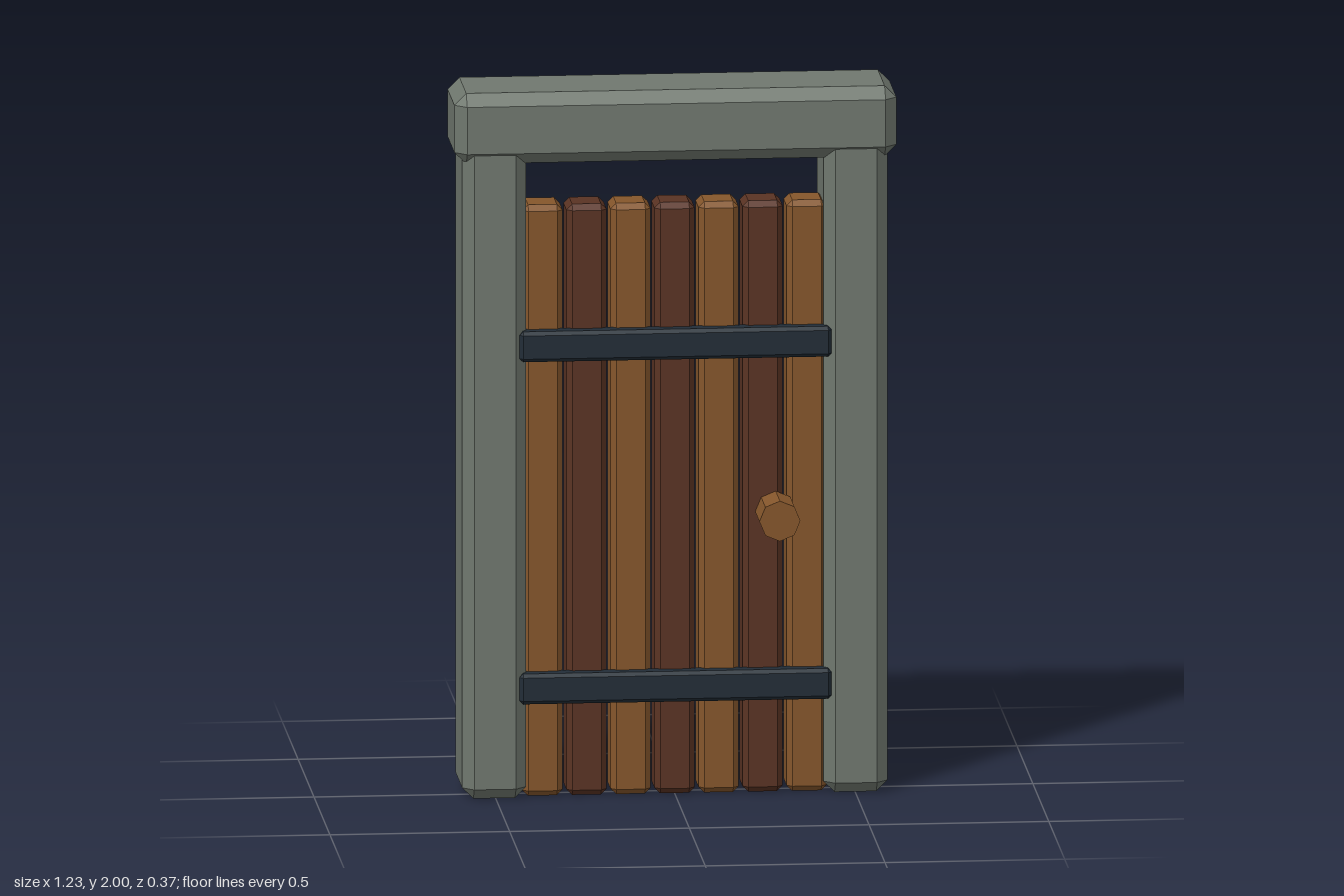
import * as THREE from 'three';
import { ConvexGeometry } from 'three/addons/geometries/ConvexGeometry.js';

const material = (name, color) => {
  const m = new THREE.MeshStandardMaterial({ color });
  m.name = name;
  return m;
};

// Box between two corners with every edge cut by a flat chamfer
function chamferBox([x0, y0, z0], [x1, y1, z1], c) {
  const half = [(x1 - x0) / 2, (y1 - y0) / 2, (z1 - z0) / 2];
  const points = [];
  for (const sx of [-1, 1]) for (const sy of [-1, 1]) for (const sz of [-1, 1]) {
    for (let outer = 0; outer < 3; outer++) {
      const p = [sx, sy, sz].map((s, i) => s * (half[i] - (i === outer ? 0 : c)));
      points.push(new THREE.Vector3(...p));
    }
  }
  const geometry = new ConvexGeometry(points);
  geometry.translate((x0 + x1) / 2, (y0 + y1) / 2, (z0 + z1) / 2);
  return geometry;
}

export function createModel() {
  const stone = material('grey stone', 0x70786f);
  const lightWood = material('light wood', 0x85562b);
  const darkWood = material('dark wood', 0x5a3323);
  const iron = material('dark iron', 0x222d37);

  const door = new THREE.Group();
  door.name = 'door';
  const add = (name, geometry, mat) => {
    const mesh = new THREE.Mesh(geometry, mat);
    mesh.name = name;
    door.add(mesh);
    return mesh;
  };

  // Stone frame
  add('lintel', chamferBox([-0.615, 1.8, -0.185], [0.615, 2, 0.095], 0.033), stone);
  add('leftPost', chamferBox([0.412, 0, -0.175], [0.59, 1.88, 0.09], 0.031), stone);
  add('rightPost', chamferBox([-0.593, 0, -0.175], [-0.415, 1.88, 0.09], 0.031), stone);

  // Seven planks, alternating light and dark
  for (let i = 0; i < 7; i++) {
    const x = (i - 3) * 0.1225;
    add('plank' + (i + 1),
      chamferBox([x - 0.056, 0, -0.075], [x + 0.056, 1.675, 0.05], 0.016),
      i % 2 ? darkWood : lightWood);
  }

  // Iron straps across the front
  for (const [name, y] of [['lowerStrap', 0.312], ['upperStrap', 1.282]]) {
    add(name, chamferBox([-0.435, y - 0.043, 0.03], [0.433, y + 0.043, 0.0905], 0.01), iron);
  }

  // Octagonal handle
  const knob = new THREE.CylinderGeometry(0.057, 0.057, 0.133, 8).toNonIndexed();
  knob.rotateX(Math.PI / 2);
  knob.computeVertexNormals();
  add('handle', knob, lightWood).position.set(0.28, 0.797, 0.1175);

  return door;
}
